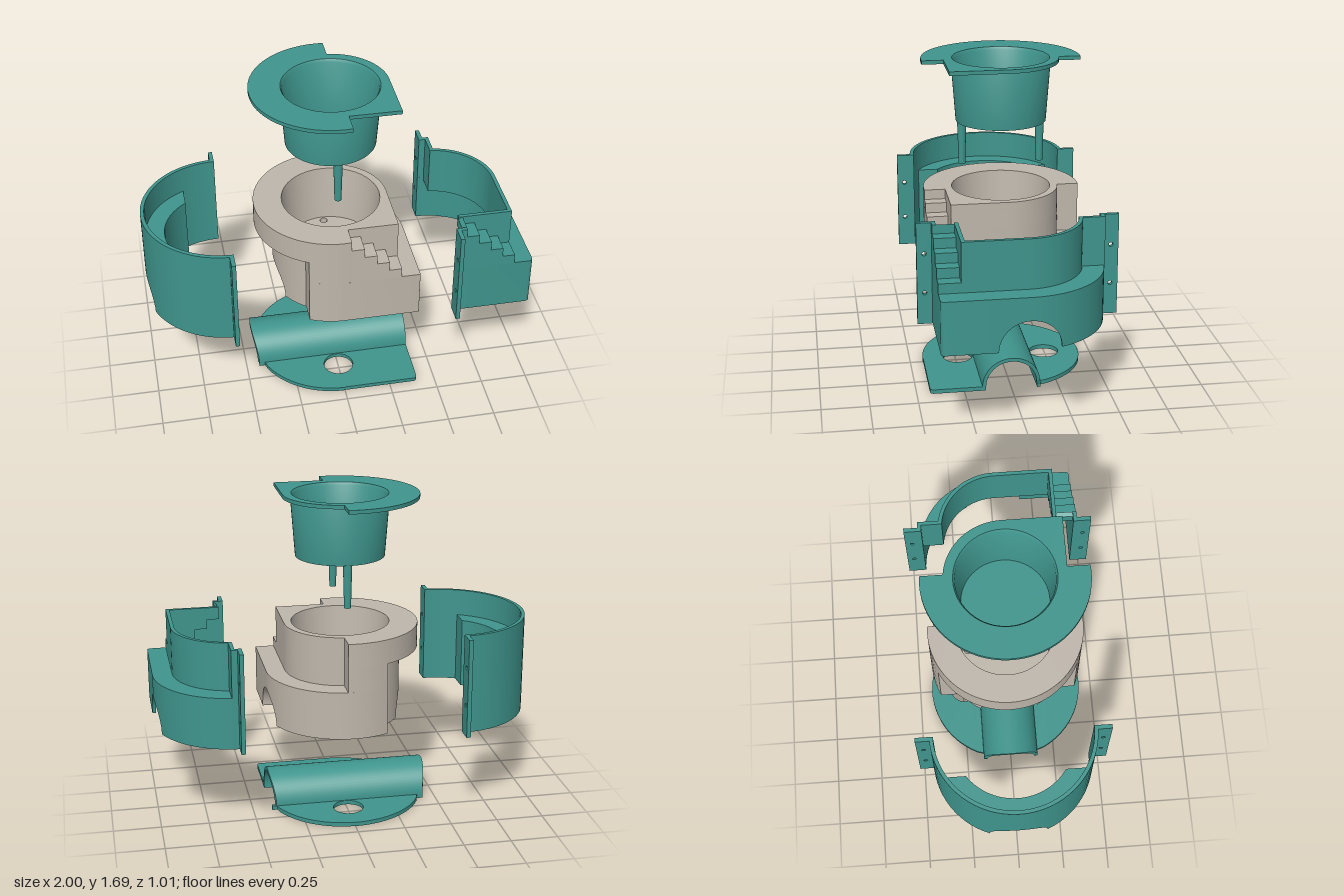
import * as THREE from 'three';
import { toCreasedNormals } from 'three/addons/utils/BufferGeometryUtils.js';

const T = 0.155, FLOOR = 0.485, TOP = 1.0, RIM = 1.015, LEDGE = 0.74, STEP_X = 0.035, RECESS_X = -0.18;
const teal = new THREE.MeshStandardMaterial({ color: 0x3f958d, side: THREE.DoubleSide });
teal.name = 'mouldTeal';
const stone = new THREE.MeshStandardMaterial({ color: 0xbfb7ac, side: THREE.DoubleSide });
stone.name = 'castStone';

const lerp = (a, b, n) => Array.from({ length: n + 1 }, (_, i) => a + (b - a) * i / n);
const tunnelY = (z) => FLOOR + Math.sqrt(Math.max(0, T * T - z * z));

function add(group, name, geo, mat) {
  const m = new THREE.Mesh(toCreasedNormals(geo, 0.5), mat);
  m.name = name;
  group.add(m);
  return m;
}

function box(group, name, x0, x1, y0, y1, z0, z1, mat) {
  const g = new THREE.BoxGeometry(x1 - x0, y1 - y0, z1 - z0);
  add(group, name, g.translate((x0 + x1) / 2, (y0 + y1) / 2, (z0 + z1) / 2), mat);
}

// Surface through rows of points; closed sections also get their two ends capped
function grid(rows, caps = false) {
  const n = rows[0].length, idx = [];
  for (let i = 0; i < rows.length - 1; i++)
    for (let j = 0; j < n - 1; j++) {
      const a = i * n + j, b = a + n;
      idx.push(a, b, a + 1, b, b + 1, a + 1);
    }
  if (caps) {
    const e = (rows.length - 1) * n;
    idx.push(0, 1, 2, 0, 2, 3, e, e + 2, e + 1, e, e + 3, e + 2);
  }
  const g = new THREE.BufferGeometry();
  g.setAttribute('position', new THREE.Float32BufferAttribute(rows.flat(2), 3));
  g.setIndex(idx);
  g.computeVertexNormals();
  return g;
}

// Thick wall between two plan paths, its foot following lo(z)
const strip = (outer, inner, lo, hi) => grid(outer.map(([x, z], i) => {
  const [u, w] = inner[i];
  return [[x, lo(z), z], [x, hi, z], [u, hi, w], [u, lo(w), w], [x, lo(z), z]];
}), true);

// Closed vertical skin around a plan outline
const skin = (outline, lo, hi) =>
  grid([...outline, outline[0]].map(([x, z]) => [[x, lo(z), z], [x, hi, z]]));

// Plan shape with round holes given as [x, z, r]
function plan(outline, holes = []) {
  const s = new THREE.Shape(outline.map(([x, z]) => new THREE.Vector2(x, -z)));
  for (const [x, z, r] of holes) s.holes.push(new THREE.Path().absarc(x, -z, r, 0, Math.PI * 2, true));
  return s;
}
const cap = (outline, y, holes) =>
  new THREE.ShapeGeometry(plan(outline, holes), 32).rotateX(-Math.PI / 2).translate(0, y, 0);
const slab = (outline, y0, y1, holes) =>
  new THREE.ExtrudeGeometry(plan(outline, holes), { depth: y1 - y0, bevelEnabled: false, curveSegments: 32 })
    .rotateX(-Math.PI / 2).translate(0, y0, 0);

// Left arc, back to front, sampled finely across the tunnel
function arc(r, amax) {
  const a0 = Math.asin(T / r);
  const mid = lerp(-Math.PI / 2, Math.PI / 2, 24).map((t) => Math.asin(T / r * Math.sin(t)));
  return [...lerp(-amax, -a0, 14).slice(0, -1), ...mid, ...lerp(a0, amax, 14).slice(1)]
    .map((a) => [-r * Math.cos(a), r * Math.sin(a)]);
}

// Right side, front to back: square front corner, rounded back
const rightX = (z, rx, rz) => (z > 0 ? rx : rx * Math.sqrt(1 - (z / rz) ** 2));
function rightPath(rx, rz, c) {
  const corner = lerp(Math.PI / 2, 0, 4).map((a) => [rx - c + c * Math.cos(a), rz - c + c * Math.sin(a)]);
  const mid = lerp(Math.PI / 2, -Math.PI / 2, 24).map((t) => T * Math.sin(t)).map((z) => [rightX(z, rx, rz), z]);
  const back = lerp(Math.asin(T / rz), Math.PI / 2, 16).slice(1).map((b) => [rx * Math.cos(b), -rz * Math.sin(b)]);
  return [[0, rz], ...corner, ...mid, ...back];
}

// Edge of the raised centre, front to back
const innerPath = (r) => [[STEP_X, r], [r, r],
  ...lerp(0, Math.acos(STEP_X / r), 20).map((a) => [r * Math.cos(a), -r * Math.sin(a)])];

// Left edge with the recess under the rim, ending at x = end
function recessPath(end) {
  const r = 0.41, ri = 0.315, z = Math.sqrt(r * r - RECESS_X ** 2);
  const pts = arc(r, Math.acos(-end / r)).filter((p) => p[0] > RECESS_X);
  return [...pts.filter((p) => p[1] < 0), [RECESS_X, -z], ...arc(ri, Math.acos(-RECESS_X / ri)),
    [RECESS_X, z], ...pts.filter((p) => p[1] > 0)];
}
const half = (outline, s) => outline.filter((p) => p[1] * s >= T - 1e-6);
const stair = (i) => [STEP_X + i * 0.053 * 1.25, TOP - 0.052 * (i + 1)];

function castPlanter() {
  const g = new THREE.Group();
  g.name = 'castPlanter';
  const low = [...recessPath(0), ...rightPath(0.4, 0.41, 0.002)];
  const mid = [...recessPath(STEP_X), ...innerPath(0.3)];
  const high = [...arc(0.41, Math.acos(-STEP_X / 0.41)), ...innerPath(0.3)];
  add(g, 'lowerBody', skin(low, tunnelY, LEDGE), stone);
  add(g, 'ledge', cap(low, LEDGE, [[0, 0, 0.255]]), stone);
  add(g, 'middleBody', skin(mid, () => LEDGE, 0.87), stone);
  add(g, 'rimUnderside', cap(high, 0.87, [[0, 0, 0.258]]), stone);
  add(g, 'rim', skin(high, () => 0.87, TOP), stone);
  add(g, 'rimTop', cap(high, TOP, [[0, 0, 0.26]]), stone);
  // Bowl, drains and underside
  add(g, 'bowl', new THREE.LatheGeometry([[0.235, 0.69], [0.26, TOP]].map((p) => new THREE.Vector2(...p)), 64), stone);
  const disc = lerp(0, Math.PI * 2, 64).slice(1).map((a) => [0.236 * Math.cos(a), 0.236 * Math.sin(a)]);
  add(g, 'bowlFloor', cap(disc, 0.69, [[0, 0.205, 0.02], [0, -0.205, 0.02]]), stone);
  for (const s of [1, -1]) {
    add(g, 'underside', cap(half(low, s), FLOOR, [[0, s * 0.205, 0.02]]), stone);
    add(g, 'drain', new THREE.CylinderGeometry(0.02, 0.02, 0.205, 20, 1, true).translate(0, 0.5875, s * 0.205), stone);
  }
  add(g, 'tunnel', grid(lerp(-Math.PI / 2, Math.PI / 2, 24).map((t) => {
    const z = T * Math.sin(t), y = tunnelY(z);
    return [[-Math.sqrt(0.315 ** 2 - z * z), y, z], [rightX(z, 0.4, 0.41), y, z]];
  })), stone);
  for (let i = 0; i < 4; i++) box(g, 'stair', stair(i)[0], stair(i + 1)[0], LEDGE, stair(i)[1], 0.3, 0.41, stone);
  return g;
}

// Bolted flanges on both ends of a half shell
function flanges(g, x0) {
  for (const s of [1, -1]) {
    const a = 0.412, b = 0.505;
    const shape = new THREE.Shape([[a, FLOOR], [b, FLOOR], [b, RIM], [a, RIM]].map(([z, y]) => new THREE.Vector2(-s * z, y)));
    for (const y of [0.65, 0.855]) shape.holes.push(new THREE.Path().absarc(-s * 0.467, y, 0.011, 0, Math.PI * 2, true));
    add(g, 'flange', new THREE.ExtrudeGeometry(shape, { depth: 0.022, bevelEnabled: false }).rotateY(Math.PI / 2).translate(x0, 0, 0), teal);
  }
}

function leftShell() {
  const g = new THREE.Group();
  g.name = 'roundShell';
  add(g, 'shellWall', strip(arc(0.432, Math.PI / 2), arc(0.412, Math.PI / 2), tunnelY, RIM), teal);
  const fill = (r) => arc(r, Math.acos(-RECESS_X / r));
  add(g, 'recessFiller', strip(fill(0.42), fill(0.315), tunnelY, 0.87), teal);
  flanges(g, -0.022);
  g.position.x = -0.568;
  return g;
}

function rightShell() {
  const g = new THREE.Group(), d = 0.02;
  g.name = 'stairShell';
  const outer = rightPath(0.423, 0.43, 0.02);
  add(g, 'lowerWall', strip(outer, rightPath(0.403, 0.41, 0.002), tunnelY, LEDGE + d), teal);
  const edge = outer.slice(1).filter((p) => p[0] > 0.055);
  add(g, 'ledgeCover', slab([[0.3, 0.43], ...edge, [0.055, -0.427], ...innerPath(0.3).slice(1).reverse()], LEDGE, LEDGE + d), teal);
  add(g, 'innerWall', strip(innerPath(0.32).slice(1), innerPath(0.3).slice(1), () => LEDGE, RIM), teal);
  box(g, 'backPost', 0, 0.055, LEDGE, RIM, -0.43, -0.41, teal);
  box(g, 'backStepWall', STEP_X, 0.055, LEDGE, RIM, -0.43, -0.3, teal);
  // Stepped profiles, offset by o from the stairs
  const steps = (o) => [0, 1, 2, 3, 4].flatMap((i) => {
    const [x, y] = stair(i);
    return [[x + o, y + 0.052 + (i ? o : Math.min(o, 0.015))], [x + o, y + o]];
  });
  const profile = (name, pts, z0, z1) => add(g, name, new THREE.ExtrudeGeometry(
    new THREE.Shape(pts.map((p) => new THREE.Vector2(...p))), { depth: z1 - z0, bevelEnabled: false }).translate(0, 0, z0), teal);
  profile('frontStepWall', [[0, LEDGE], [0, RIM], ...steps(d), [0.32, LEDGE]], 0.41, 0.43);
  profile('stairCover', [...steps(d), ...steps(0).reverse()], 0.3, 0.43);
  profile('stairSideWall', [...steps(0), [0.32, LEDGE], [0.32, RIM], [STEP_X, RIM]], 0.3, 0.32);
  flanges(g, 0);
  g.position.x = 0.577;
  return g;
}

function basePlate() {
  const g = new THREE.Group();
  g.name = 'basePlate';
  const outline = [...arc(0.432, Math.PI / 2), ...rightPath(0.403, 0.43, 0.02)];
  for (const s of [1, -1]) add(g, 'plate', slab(half(outline, s).map(([x, z]) => [x, Math.abs(z) < T + 1e-4 ? s * 0.14 : z]), 0, 0.022, [[0, s * 0.24, 0.08]]), teal);
  // Arch that forms the tunnel
  add(g, 'tunnelArch', grid(lerp(-Math.PI / 2, Math.PI / 2, 32).map((t) => {
    const pt = (r, right) => {
      const z = r * Math.sin(t);
      return [right ? rightX(z, 0.403, 0.43) : -Math.sqrt(0.457 ** 2 - z * z), 0.02 + r * Math.cos(t), z];
    };
    return [pt(T, false), pt(T, true), pt(0.136, true), pt(0.136, false), pt(T, false)];
  }), true), teal);
  for (const s of [1, -1]) box(g, 'archFoot', -0.43, 0.4, 0, 0.022, s > 0 ? 0.136 : -T, s > 0 ? T : -0.136, teal);
  return g;
}

function bowlCore() {
  const g = new THREE.Group();
  g.name = 'bowlCore';
  const lid = [...arc(0.413, Math.acos(-STEP_X / 0.413)), ...innerPath(0.3)];
  add(g, 'lid', slab(lid, 1.67, 1.69, [[0, 0, 0.252]]), teal);
  const cup = [[0, 1.36], [0.235, 1.36], [0.258, 1.675], [0.252, 1.69], [0.243, 1.675], [0.222, 1.38], [0, 1.38]];
  add(g, 'cup', new THREE.LatheGeometry(cup.map((p) => new THREE.Vector2(...p)), 64), teal);
  for (const s of [1, -1])
    add(g, 'drainPeg', new THREE.CylinderGeometry(0.024, 0.018, 0.235, 20).translate(0, 1.2475, s * 0.205), teal);
  return g;
}

export function createModel() {
  const model = new THREE.Group();
  model.name = 'planterMould';
  model.add(castPlanter(), leftShell(), rightShell(), basePlate(), bowlCore());
  return model;
}
